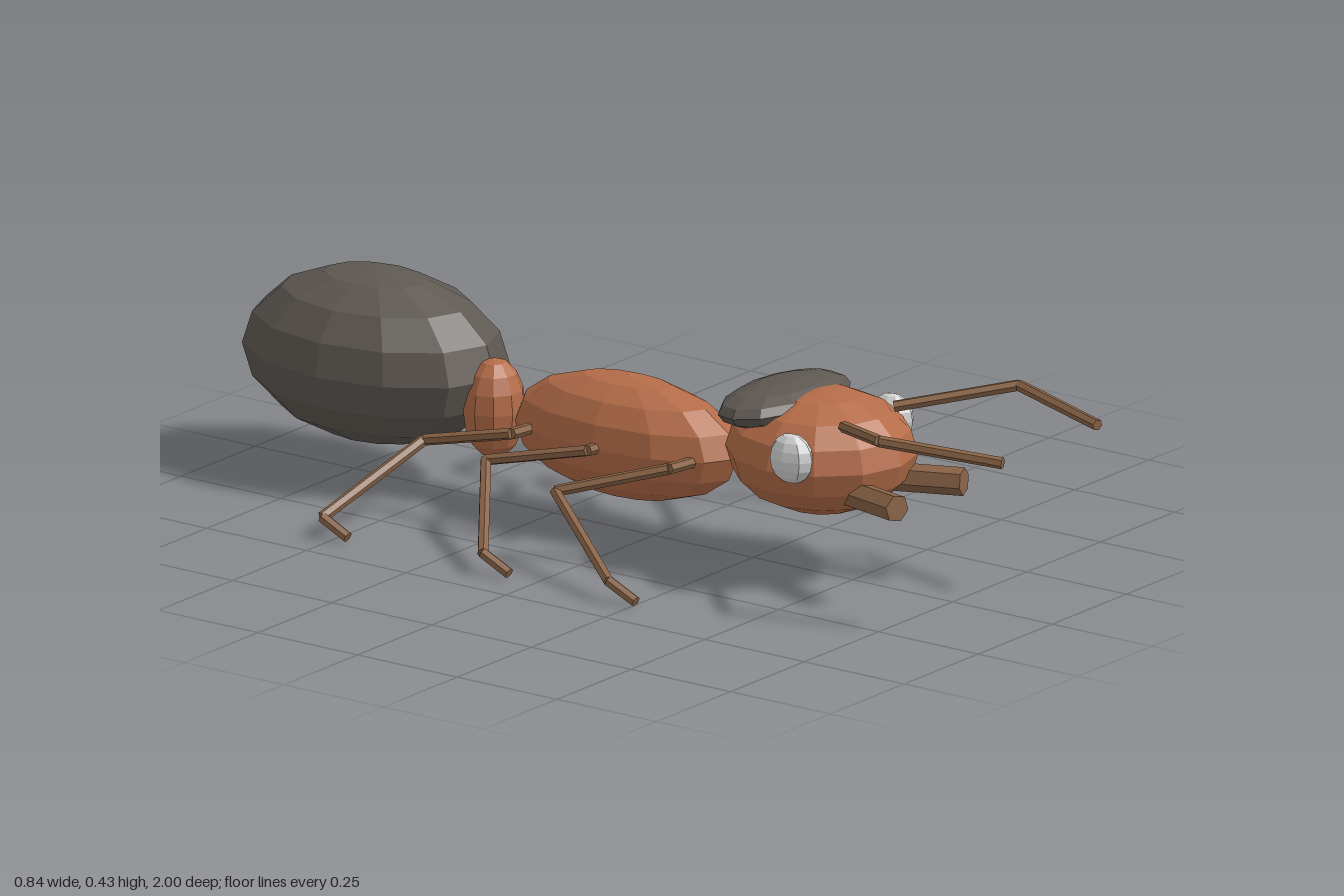
import * as THREE from 'three';

const flat = (name, color) => {
  const m = new THREE.MeshStandardMaterial({ color });
  m.name = name;
  m.flatShading = true;
  return m;
};

export function createModel() {
  const rust = flat('rust', 0xb46c48);
  const charcoal = flat('charcoal', 0x5e5852);
  const brown = flat('brown', 0x8a6447);
  const pale = flat('pale grey', 0xd4d4d4);
  const model = new THREE.Group();
  model.name = 'ant';

  // Faceted ellipsoid with its poles on the vertical axis
  const ellipsoid = (name, mat, pos, radii, w = 12, h = 8) => {
    const mesh = new THREE.Mesh(new THREE.SphereGeometry(1, w, h), mat);
    mesh.name = name;
    mesh.position.set(...pos);
    mesh.scale.set(...radii);
    model.add(mesh);
    return mesh;
  };

  // Chain of six-sided rods through a list of points
  const limb = (name, points, radius, parent = model) => {
    const group = new THREE.Group();
    group.name = name;
    const up = new THREE.Vector3(0, 1, 0);
    for (let i = 1; i < points.length; i++) {
      const a = new THREE.Vector3(...points[i - 1]);
      const b = new THREE.Vector3(...points[i]);
      const dir = b.clone().sub(a);
      const rod = new THREE.Mesh(new THREE.CylinderGeometry(radius, radius, dir.length(), 6), brown);
      rod.name = `${name}Segment${i}`;
      rod.position.copy(a).add(b).multiplyScalar(0.5);
      rod.quaternion.setFromUnitVectors(up, dir.normalize());
      group.add(rod);
    }
    parent.add(group);
  };

  // Body, back to front
  ellipsoid('abdomen', charcoal, [0, 0.257, -0.697], [0.206, 0.178, 0.3]);
  ellipsoid('waist', rust, [0, 0.198, -0.4], [0.067, 0.105, 0.065], 10, 8);
  ellipsoid('thorax', rust, [0, 0.203, -0.065], [0.122, 0.127, 0.275]);
  ellipsoid('head', rust, [0, 0.265, 0.422], [0.187, 0.126, 0.2]);
  const cap = ellipsoid('headCap', charcoal, [0, 0.353, 0.328], [0.177, 0.045, 0.107]);
  cap.rotation.x = -0.1;

  // Leg rows: hip z, knee x and z, ankle z, toe z
  const legs = [
    ['frontLeg', 0.145, 0.268, -0.048, 0.19, 0.258],
    ['middleLeg', -0.06, 0.183, -0.285, -0.125, -0.06],
    ['rearLeg', -0.25, 0.15, -0.465, -0.528, -0.465],
  ];

  for (const s of [1, -1]) {
    const side = s > 0 ? 'left' : 'right';
    const mirror = (pts) => pts.map(([x, y, z]) => [s * x, y, z]);

    ellipsoid(`${side}Eye`, pale, [s * 0.17, 0.297, 0.472], [0.033, 0.052, 0.052], 8, 8);
    limb(`${side}Mandible`, mirror([[0.07, 0.213, 0.55], [0.113, 0.218, 0.695]]), 0.029);
    limb(`${side}Antenna`, mirror([[0.085, 0.355, 0.54], [0.235, 0.4, 0.742], [0.16, 0.382, 0.995]]), 0.012);

    for (const [name, hip, kneeX, knee, ankle, toe] of legs) {
      limb(`${side} ${name}`, mirror([
        [0.05, 0.2, hip], [0.145, 0.207, hip], [kneeX, 0.155, knee],
        [0.408, 0.045, ankle], [0.408, 0.014, toe],
      ]), 0.012);
    }
  }
  return model;
}
